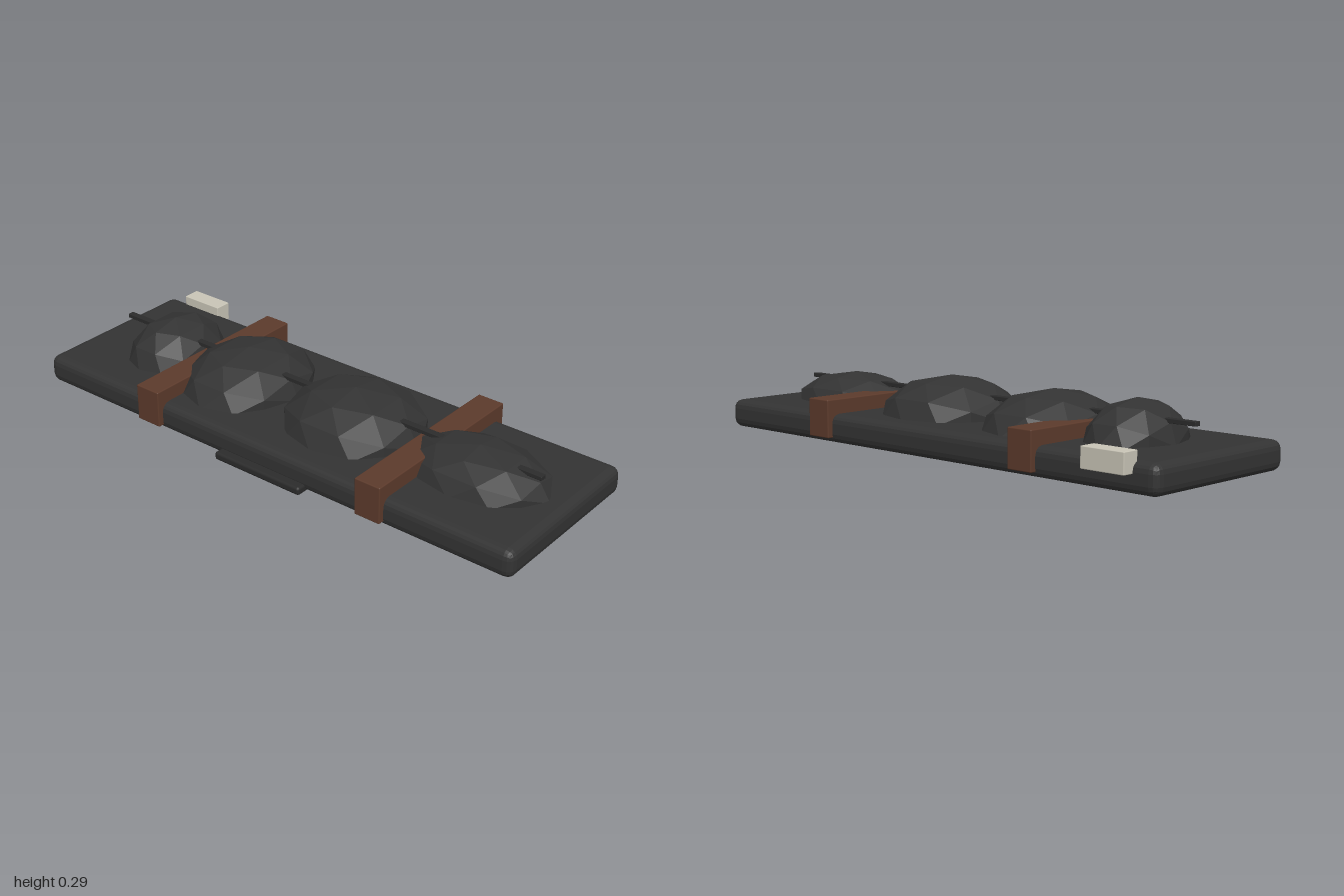
import * as THREE from 'three';
import { RoundedBoxGeometry } from 'three/addons/geometries/RoundedBoxGeometry.js';

const material = (name, color, flatShading = false) => {
  const m = new THREE.MeshStandardMaterial({ color, flatShading });
  m.name = name;
  return m;
};

export function createModel() {
  const group = new THREE.Group();
  group.name = 'wrappedBundle';
  const cloth = material('charcoal cloth', 0x333333, true);
  const zipper = material('dark zipper', 0x2b2b2b);
  const leather = material('brown leather', 0x5c3a2b);
  const paper = material('pale tag', 0xc8c4b6);

  const add = (name, geometry, mat) => {
    const mesh = new THREE.Mesh(geometry, mat);
    mesh.name = name;
    group.add(mesh);
    return mesh;
  };
  // Rounded box given by its lower and upper corners
  const box = (name, lo, hi, radius, mat) => {
    const size = hi.map((v, i) => v - lo[i]);
    const mesh = add(name, new RoundedBoxGeometry(...size, 2, radius), mat);
    mesh.position.set(...hi.map((v, i) => (v + lo[i]) / 2));
    return mesh;
  };

  // Flat padded sheet
  box('sheet', [-0.33, 0.056, -1], [0.32, 0.158, 1], 0.032, cloth);

  // Faceted bulges along the sheet: centre x, y, z and radii x, y, z
  const bulges = [
    ['headBulge', -0.005, 0.15, -0.667, 0.2, 0.142, 0.155],
    ['chestBulge', -0.005, 0.15, -0.315, 0.262, 0.138, 0.225],
    ['hipBulge', -0.005, 0.148, 0.16, 0.243, 0.145, 0.262],
    ['legBulge', -0.008, 0.15, 0.665, 0.18, 0.113, 0.267],
  ];
  for (const [name, x, y, z, rx, ry, rz] of bulges) {
    const geometry = new THREE.IcosahedronGeometry(1, 1).scale(rx, ry, rz);
    add(name, geometry, cloth).position.set(x, y, z);
  }

  // Long zipper rail down the middle
  box('zipper', [-0.018, 0.223, -0.9], [0.006, 0.238, 0.9], 0.002, zipper);

  // Cross straps
  for (const z of [-0.479, 0.475])
    box('strap', [-0.351, 0.076, z - 0.05], [0.34, 0.21, z + 0.05], 0.004, leather);

  // Side handle and label
  box('sideHandle', [-0.362, 0.055, -0.162], [-0.29, 0.085, 0.205], 0.01, zipper);
  box('tag', [0.297, 0.12, -0.91], [0.36, 0.19, -0.743], 0.003, paper);

  return group;
}
